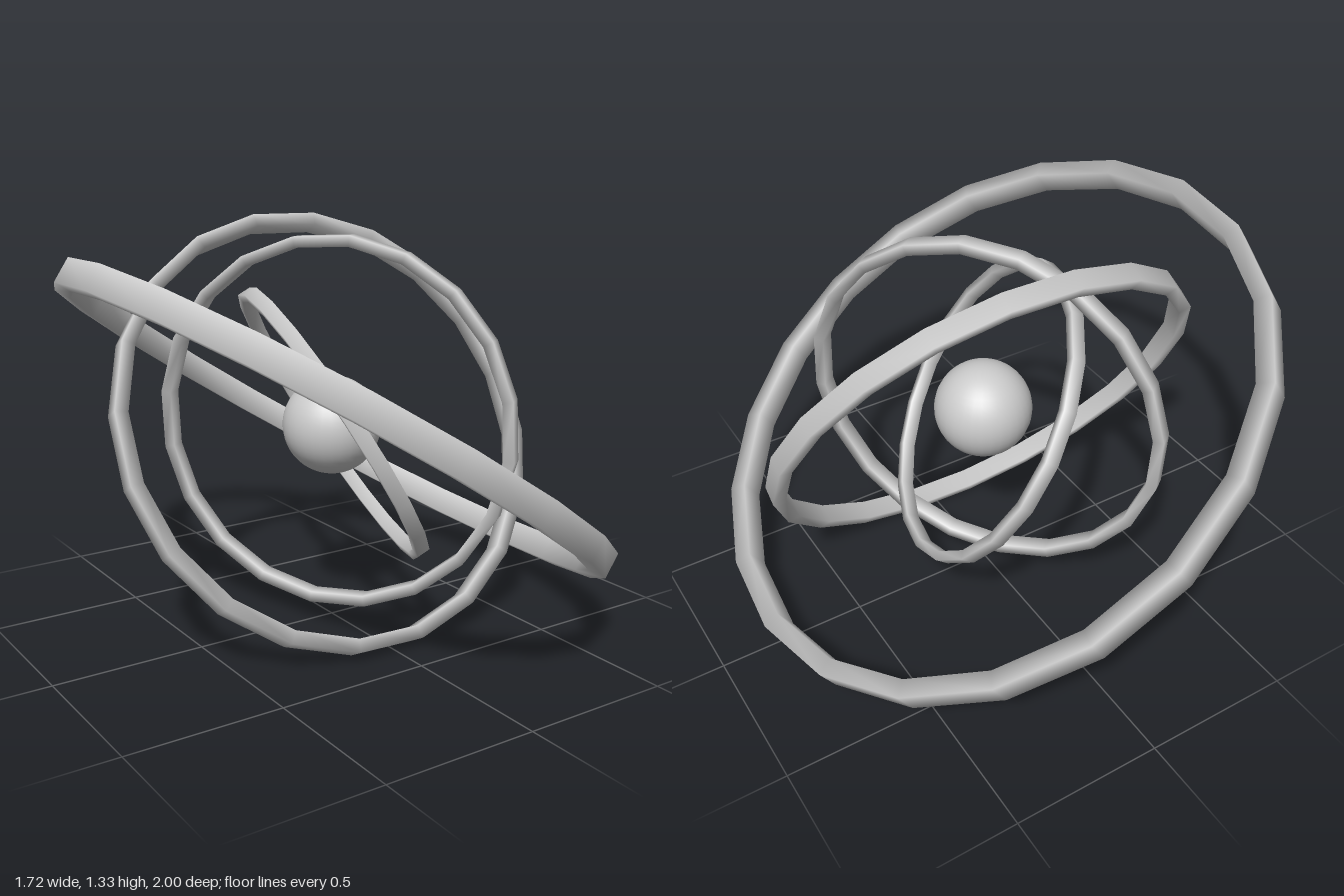
import * as THREE from 'three';
import { mergeVertices } from 'three/addons/utils/BufferGeometryUtils.js';

const CENTER_Y = 0.667;
const SIDES = 20;

// Square-section hoop; all hoops share the same proportions.
function makeHoop(name, radius, normal, start, phaseDeg, material) {
  const inner = radius * 0.942, h = radius * 0.0435;
  const profile = [
    [inner, -h], [radius, -h], [radius, h], [inner, h], [inner, -h],
  ].map(([x, y]) => new THREE.Vector2(x, y));
  const lathe = new THREE.LatheGeometry(
    profile, SIDES, THREE.MathUtils.degToRad(phaseDeg), Math.PI * 2);

  // Weld the seams so the shading runs softly around the section.
  lathe.deleteAttribute('uv');
  lathe.deleteAttribute('normal');
  const geometry = mergeVertices(lathe);
  geometry.computeVertexNormals();

  // Turn the hoop's axis to the normal, with angle zero toward start.
  const n = new THREE.Vector3(...normal).normalize();
  const x = new THREE.Vector3().crossVectors(n, new THREE.Vector3(...start)).normalize();
  const z = new THREE.Vector3().crossVectors(x, n);
  const mesh = new THREE.Mesh(geometry, material);
  mesh.quaternion.setFromRotationMatrix(new THREE.Matrix4().makeBasis(x, n, z));
  mesh.position.y = CENTER_Y;
  mesh.name = name;
  return mesh;
}

export function createModel() {
  const group = new THREE.Group();
  group.name = 'armillarySphere';
  const material = new THREE.MeshStandardMaterial({ color: 0xcccccc });

  // Central ball
  const ball = new THREE.Mesh(new THREE.SphereGeometry(0.162, 32, 24), material);
  ball.position.y = CENTER_Y;
  ball.name = 'centralBall';
  group.add(ball);

  // Nested hoops: name, outer radius, axis, start direction, facet phase
  const hoops = [
    ['outerHoop', 1.0, [0.55, 0.835, 0.02], [0, 0, -1], 3],
    ['secondHoop', 0.75, [-0.03, 0.485, 0.875], [0, 0.875, -0.485], 7],
    ['thirdHoop', 0.623, [0.82, -0.017, -0.57], [0, 1, 0], 6],
    ['innerHoop', 0.522, [0.82, 0.51, 0.26], [0, 1, 0], 0],
  ];
  for (const h of hoops) group.add(makeHoop(...h, material));
  return group;
}
